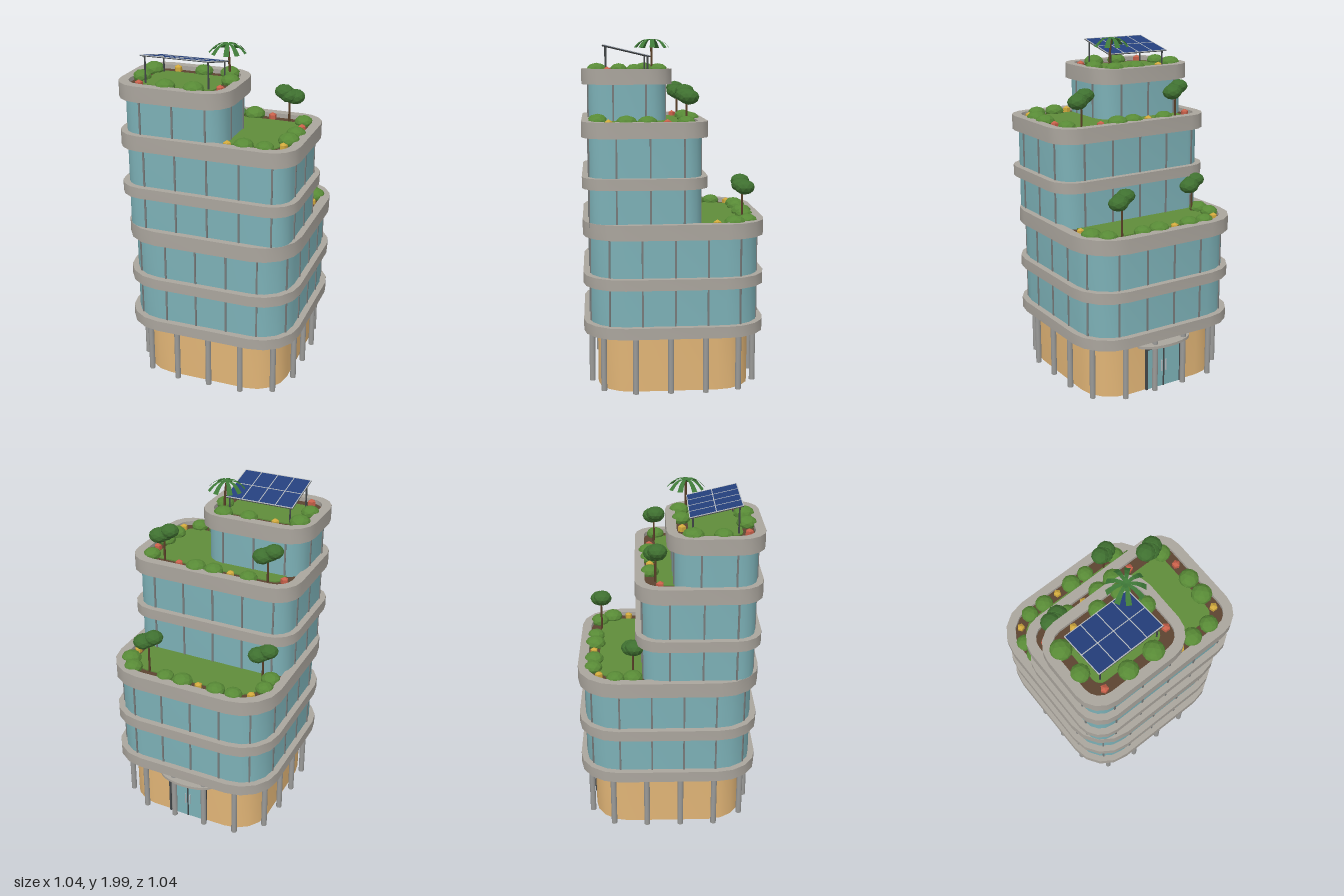
import * as THREE from 'three';
import { toCreasedNormals } from 'three/addons/utils/BufferGeometryUtils.js';

const mat = (color, extra = {}) => new THREE.MeshStandardMaterial({ color, ...extra });
const flat = { flatShading: true };
const M = {
  concrete: mat(0xaaa59d), glass: mat(0x7cb0b6), mullion: mat(0x777b7b), wall: mat(0xe0b476),
  column: mat(0x9a9a98), soil: mat(0x5c4431), lawn: mat(0x5f8c3a), bush: mat(0x588a36, flat),
  leaf: mat(0x3f7030, flat), trunk: mat(0x5a4028), yellow: mat(0xd0a83c, flat), red: mat(0xc8604a, flat),
  panel: mat(0x243f7c), frame: mat(0xb8bcc0), dark: mat(0x44484a),
  frond: mat(0x3f7a38, { flatShading: true, side: THREE.DoubleSide }),
};

// Footprints of the three stepped volumes
const LOW = { x0: -0.52, x1: 0.52, z0: -0.52, z1: 0.52, r: 0.235 };
const MID = { x0: -0.52, x1: 0.52, z0: -0.185, z1: 0.52, r: 0.15 };
const TOP = { x0: -0.52, x1: 0.15, z0: -0.01, z1: 0.52, r: 0.15 };

// Rounded rectangle (shape y is -z), inset from a footprint
function outline(f, inset = 0, radius) {
  const r = radius ?? Math.max(f.r - inset, 0.05);
  const x0 = f.x0 + inset + r, x1 = f.x1 - inset - r;
  const y0 = -f.z1 + inset + r, y1 = -f.z0 - inset - r;
  const pts = [];
  [[x1, y0], [x1, y1], [x0, y1], [x0, y0]].forEach(([cx, cy], k) => {
    for (let i = 0; i <= 4; i++) {
      const a = (k - 1 + i / 4) * Math.PI / 2;
      pts.push(new THREE.Vector2(cx + r * Math.cos(a), cy + r * Math.sin(a)));
    }
  });
  const shape = new THREE.Shape(pts);
  shape.closePath();
  return shape;
}

function add(parent, name, geometry, material, x = 0, y = 0, z = 0) {
  const mesh = new THREE.Mesh(geometry, material);
  mesh.name = name;
  mesh.position.set(x, y, z);
  parent.add(mesh);
  return mesh;
}

function prism(parent, name, shape, y0, y1, material) {
  const g = new THREE.ExtrudeGeometry(shape, { depth: y1 - y0, bevelEnabled: false });
  g.rotateX(-Math.PI / 2);
  return add(parent, name, toCreasedNormals(g, 0.6), material, 0, y0, 0);
}

// Calls fn(x, z, heading) at n even steps round an outline
function around(shape, n, start, fn) {
  for (let i = 0; i < n; i++) {
    const t = (i / n + start + 1) % 1;
    const p = shape.getPoint(t), d = shape.getTangent(t);
    fn(p.x, -p.y, Math.atan2(d.y, d.x));
  }
}

function glassStorey(parent, f, y0, y1) {
  const g = new THREE.Group();
  g.name = 'glassStorey';
  parent.add(g);
  const shape = outline(f, 0.037);
  prism(g, 'glazing', shape, y0, y1, M.glass);
  const bar = new THREE.BoxGeometry(0.01, y1 - y0, 0.012);
  around(shape, Math.round(shape.getLength() / 0.19), 0.01, (x, z, a) => {
    add(g, 'mullion', bar, M.mullion, x, (y0 + y1) / 2, z).rotation.y = a;
  });
}

// Parapet ring with planting bed and lawn inside
function roof(parent, f, y0, y1) {
  const g = new THREE.Group();
  g.name = 'roofTerrace';
  parent.add(g);
  const ring = outline(f);
  ring.holes.push(new THREE.Path(outline(f, 0.055).getPoints().reverse()));
  prism(g, 'parapet', ring, y0, y1, M.concrete);
  prism(g, 'roofDeck', outline(f, 0.05), y0, y0 + 0.02, M.concrete);
  prism(g, 'plantingBed', outline(f, 0.055), y0 + 0.02, y1 - 0.025, M.soil);
  prism(g, 'lawn', outline(f, 0.12), y1 - 0.025, y1 - 0.018, M.lawn);
}

const blob = new THREE.IcosahedronGeometry(1, 1);
const bloom = new THREE.SphereGeometry(0.026, 5, 3);

function plants(parent, roofY, bushes, yellows, reds) {
  const g = new THREE.Group();
  g.name = 'planting';
  parent.add(g);
  bushes.forEach(([x, z], i) => {
    const b = add(g, 'bush', blob, M.bush, x, roofY - 0.008, z);
    const s = 0.053 + 0.004 * (i * 7 % 3);
    b.scale.set(s, s * 0.7, s);
    b.rotation.y = i * 1.3;
  });
  [[yellows, M.yellow], [reds, M.red]].forEach(([list, m]) => list.forEach(([x, z], i) => {
    add(g, 'flower', bloom, m, x, roofY - 0.012, z).rotation.y = i * 0.9;
  }));
}

function tree(parent, x, y, z, h) {
  const g = new THREE.Group();
  g.name = 'tree';
  g.position.set(x, y, z);
  parent.add(g);
  add(g, 'trunk', new THREE.CylinderGeometry(0.005, 0.007, h, 6), M.trunk, 0, h / 2, 0);
  [[-0.03, 0.03, 0.01, 0.055], [0.03, 0, -0.01, 0.058], [0, 0.01, 0.01, 0.055]].forEach(([bx, by, bz, s]) => {
    add(g, 'crown', blob, M.leaf, bx, h + by, bz).scale.set(s, s * 0.75, s);
  });
}

function palm(parent, x, y, z) {
  const g = new THREE.Group();
  g.name = 'palm';
  g.position.set(x, y, z);
  parent.add(g);
  const path = new THREE.QuadraticBezierCurve3(new THREE.Vector3(0.012, 0, 0),
    new THREE.Vector3(0.012, 0.1, 0), new THREE.Vector3(0, 0.183, 0));
  add(g, 'palmTrunk', new THREE.TubeGeometry(path, 5, 0.007, 6), M.trunk);
  // Fronds widen outwards and droop
  const leaf = new THREE.PlaneGeometry(0.105, 1, 4, 1).rotateX(-Math.PI / 2).translate(0.0525, 0, 0);
  const p = leaf.attributes.position;
  for (let i = 0; i < p.count; i++) {
    const u = p.getX(i) / 0.105;
    p.setY(i, 0.05 * u - 0.092 * u * u);
    p.setZ(i, p.getZ(i) * (0.012 + 0.02 * u));
  }
  leaf.computeVertexNormals();
  for (let i = 0; i < 9; i++) {
    add(g, 'frond', leaf, M.frond, 0, 0.188, 0).rotation.y = i * Math.PI * 2 / 9 + 0.1 * (i % 2);
  }
}

function solarArray(parent) {
  const w = 0.41, d = 0.292;
  const g = new THREE.Group();
  g.name = 'solarArray';
  g.position.set(-0.185, 1.927, 0.253);
  g.rotation.x = -0.228;
  parent.add(g);
  add(g, 'backing', new THREE.BoxGeometry(w, 0.004, d), M.dark);
  add(g, 'cells', new THREE.BoxGeometry(w - 0.004, 0.003, d - 0.004), M.panel, 0, 0.0035, 0);
  for (let i = 0; i <= 4; i++) {
    add(g, 'frameBar', new THREE.BoxGeometry(0.005, 0.004, d), M.frame, (i / 4 - 0.5) * (w - 0.005), 0.0045, 0);
  }
  for (let i = 0; i <= 2; i++) {
    add(g, 'frameRail', new THREE.BoxGeometry(w, 0.004, 0.005), M.frame, 0, 0.0045, (i / 2 - 0.5) * (d - 0.005));
  }
  for (const x of [-0.37, 0]) for (const [z, y] of [[0.375, 1.953], [0.13, 1.897]]) {
    add(parent, 'panelPost', new THREE.CylinderGeometry(0.005, 0.005, y - 1.79, 6), M.dark, x, (y + 1.79) / 2, z);
  }
}

function entrance(parent) {
  const g = new THREE.Group();
  g.name = 'entrance';
  g.position.z = -0.44;
  parent.add(g);
  for (const s of [-1, 1]) {
    add(g, 'doorLeaf', new THREE.BoxGeometry(0.11, 0.25, 0.01), M.glass, s * 0.058, 0.125, -0.003);
    add(g, 'doorJamb', new THREE.BoxGeometry(0.012, 0.26, 0.02), M.dark, s * 0.12, 0.13, -0.004);
    add(g, 'doorHandle', new THREE.BoxGeometry(0.005, 0.07, 0.008), M.frame, s * 0.015, 0.13, -0.012);
  }
  add(g, 'doorMullion', new THREE.BoxGeometry(0.008, 0.25, 0.016), M.dark, 0, 0.125, -0.004);
  add(g, 'doorHead', new THREE.BoxGeometry(0.25, 0.012, 0.02), M.dark, 0, 0.256, -0.004);
  const canopy = new THREE.CylinderGeometry(0.18, 0.18, 0.016, 24);
  add(g, 'canopy', canopy, M.concrete, 0, 0.286, 0).scale.z = 0.46;
}

export function createModel() {
  const model = new THREE.Group();
  model.name = 'terracedBuilding';

  // Ground floor with colonnade and rear entrance
  prism(model, 'groundFloor', outline(LOW, 0.08, 0.2), 0, 0.34, M.wall);
  const post = new THREE.CylinderGeometry(0.017, 0.017, 0.34, 10);
  around(outline(LOW, 0.045, 0.235), 17, -0.006, (x, z) => add(model, 'column', post, M.column, x, 0.17, z));
  entrance(model);

  // Floor bands, glass storeys and roofs
  prism(model, 'floorBand', outline(LOW), 0.33, 0.395, M.concrete);
  prism(model, 'floorBand', outline(LOW), 0.61, 0.673, M.concrete);
  prism(model, 'floorBand', outline(MID), 1.173, 1.236, M.concrete);
  [[LOW, 0.395, 0.61], [LOW, 0.673, 0.895], [MID, 0.95, 1.173], [MID, 1.236, 1.455], [TOP, 1.51, 1.735]]
    .forEach(([f, a, b]) => glassStorey(model, f, a, b));
  roof(model, LOW, 0.893, 0.98);
  roof(model, MID, 1.455, 1.543);
  roof(model, TOP, 1.735, 1.824);

  // Planting per terrace: bushes, yellow flowers, red flowers
  plants(model, 0.98,
    [[-0.29, -0.43], [-0.18, -0.43], [0.03, -0.43], [0.14, -0.43], [0.36, -0.415], [0.42, -0.335], [-0.425, -0.3], [-0.42, -0.2]],
    [[-0.385, -0.395], [-0.075, -0.435], [0.43, -0.235]], []);
  plants(model, 1.543,
    [[-0.225, -0.1], [-0.01, -0.1], [0.1, -0.105], [0.41, -0.06], [0.43, 0.155], [0.425, 0.27], [0.34, 0.43], [0.22, 0.43]],
    [[-0.115, -0.1], [0.425, 0.37], [0.13, 0.44]], [[0.21, -0.1], [-0.42, -0.045], [0.43, 0.045]]);
  plants(model, 1.824,
    [[-0.145, 0.075], [0.01, 0.07], [-0.43, 0.13], [-0.43, 0.29], [-0.23, 0.43], [-0.065, 0.43], [0.065, 0.21]],
    [[-0.305, 0.075]], [[-0.385, 0.43], [0.065, 0.37]]);
  tree(model, -0.37, 0.955, -0.2, 0.165);
  tree(model, 0.26, 0.955, -0.4, 0.2);
  tree(model, 0.32, 1.518, -0.07, 0.155);
  tree(model, -0.33, 1.518, -0.07, 0.155);
  palm(model, 0.01, 1.8, 0.108);
  solarArray(model);
  return model;
}
